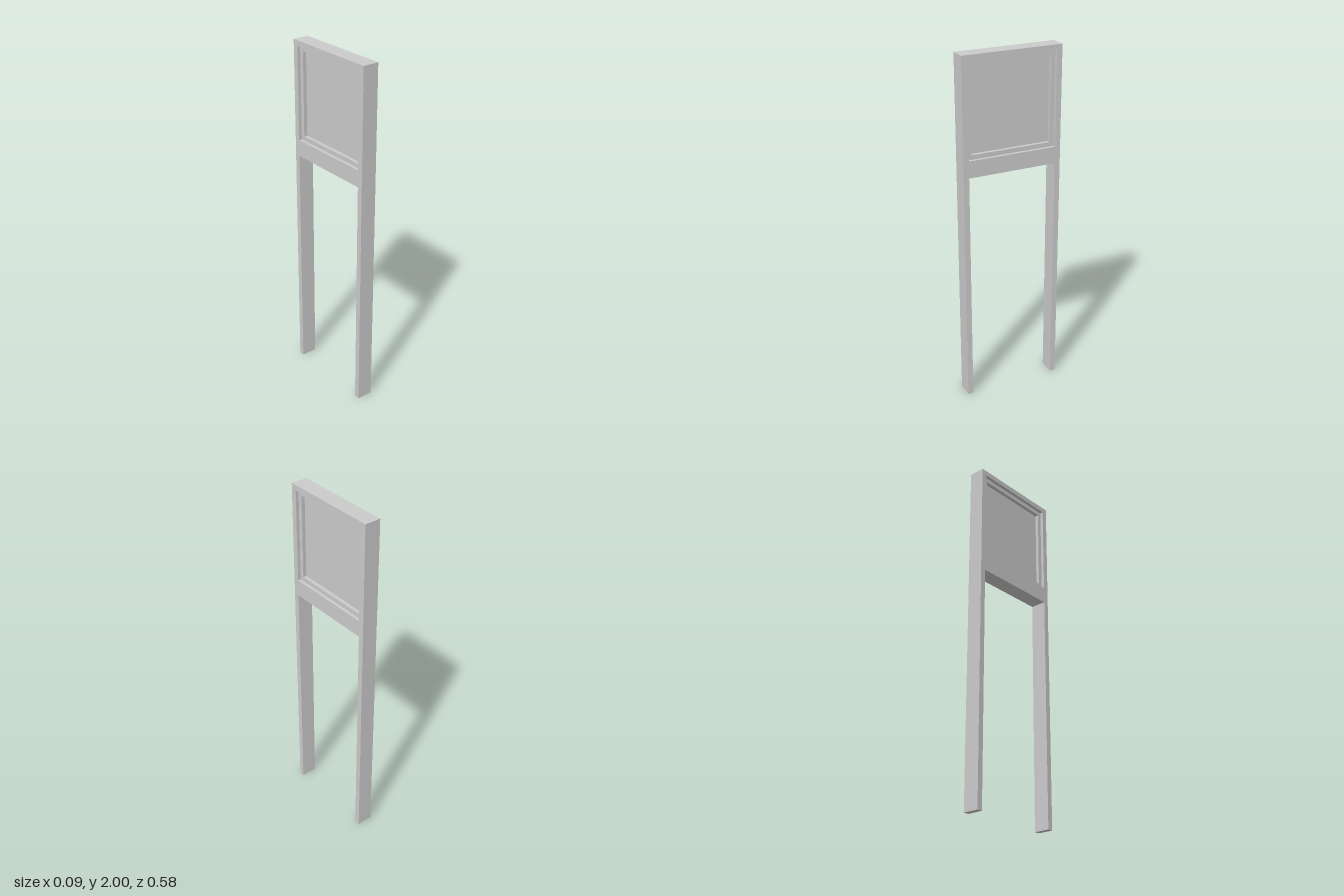
import * as THREE from 'three';

const HALF_W = 0.288, HALF_T = 0.046, LEG_IN = 0.256;

// Rectangular outline, symmetric about the middle of the sign
function rect(PathType, half, y0, y1) {
  const p = new PathType();
  p.moveTo(-half, y0);
  p.lineTo(half, y0);
  p.lineTo(half, y1);
  p.lineTo(-half, y1);
  p.closePath();
  return p;
}

// Extrude a z-y outline across x, centred on x = 0
function slab(name, shape, halfThickness, material) {
  const geo = new THREE.ExtrudeGeometry(shape, { depth: halfThickness * 2, bevelEnabled: false });
  geo.translate(0, 0, -halfThickness);
  geo.rotateY(Math.PI / 2);
  const mesh = new THREE.Mesh(geo, material);
  mesh.name = name;
  return mesh;
}

export function createModel() {
  const group = new THREE.Group();
  group.name = 'standingSign';
  const material = new THREE.MeshStandardMaterial({ color: 0xcccccc, flatShading: true });

  // Outer frame and its two legs in one piece
  const outline = new THREE.Shape([
    [-HALF_W, 0], [-LEG_IN, 0], [-LEG_IN, 1.345], [LEG_IN, 1.345],
    [LEG_IN, 0], [HALF_W, 0], [HALF_W, 2], [-HALF_W, 2],
  ].map(([z, y]) => new THREE.Vector2(z, y)));
  outline.holes.push(rect(THREE.Path, LEG_IN, 1.44, 1.97));
  group.add(slab('frameWithLegs', outline, HALF_T, material));

  // Stepped inner frame, recessed on both faces
  const inner = rect(THREE.Shape, LEG_IN, 1.44, 1.97);
  inner.holes.push(rect(THREE.Path, 0.232, 1.465, 1.945));
  group.add(slab('innerFrame', inner, 0.028, material));

  // Thin display panel, recessed further
  group.add(slab('panel', rect(THREE.Shape, 0.232, 1.465, 1.945), 0.008, material));

  return group;
}
